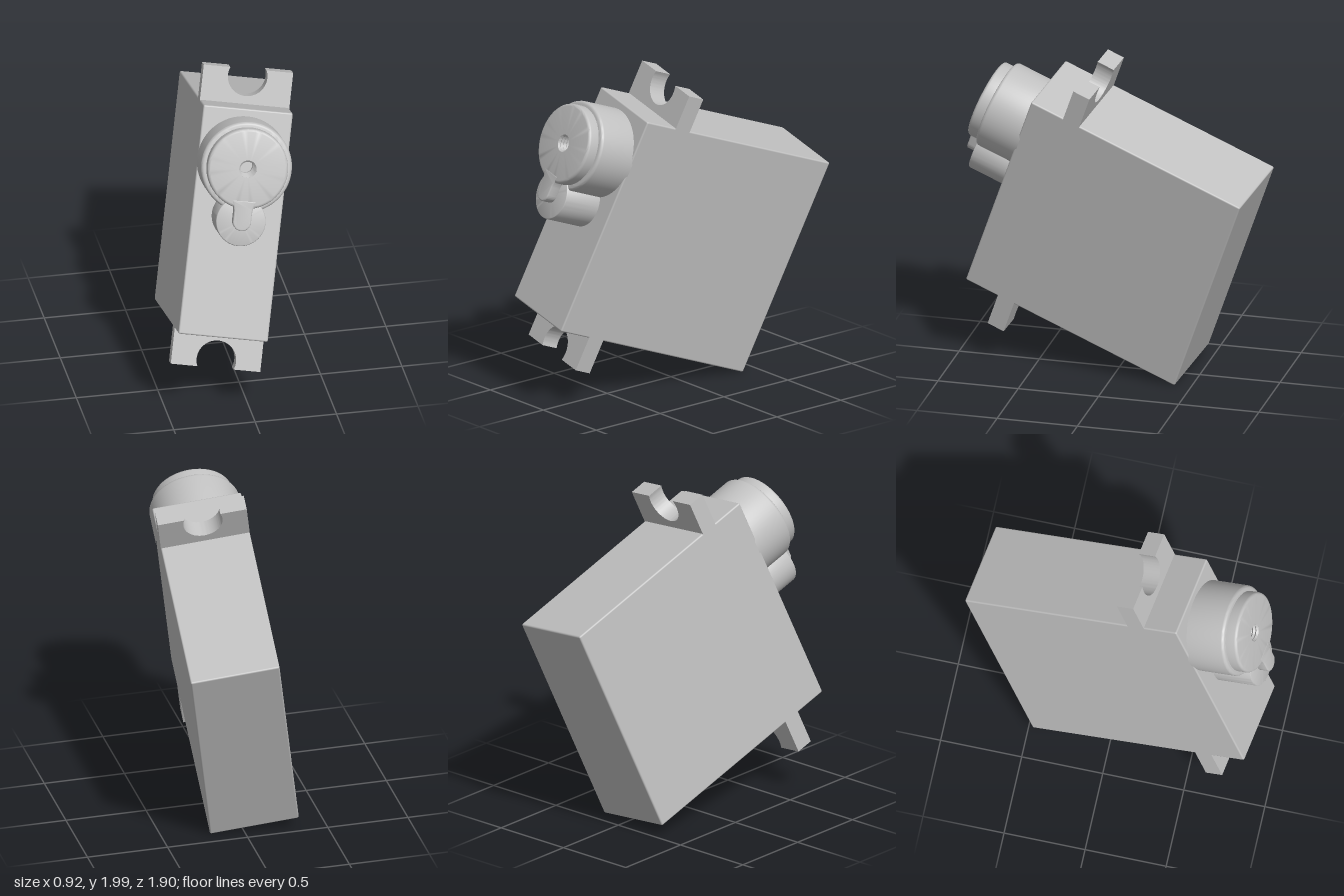
import * as THREE from 'three';
import { toCreasedNormals } from 'three/addons/utils/BufferGeometryUtils.js';
import { RoundedBoxGeometry } from 'three/addons/geometries/RoundedBoxGeometry.js';

const HALF_W = 0.2725; // half width of the case

// Lathe whose axis points forward (+z); profile entries are [radius, z]
function turned(profile, y) {
  const points = profile.map(([r, z]) => new THREE.Vector2(r, z));
  const geo = toCreasedNormals(new THREE.LatheGeometry(points, 64), 0.6);
  return geo.rotateX(Math.PI / 2).translate(0, y, 0);
}

// Rounded outer rim as a run of profile points
function rim(radius, top, bevel) {
  const points = [];
  for (let i = 0; i <= 4; i++) {
    const a = (i / 4) * Math.PI / 2;
    points.push([radius - bevel + bevel * Math.cos(a), top - bevel + bevel * Math.sin(a)]);
  }
  return points;
}

// Mounting ear with a round notch open at its tip
function earGeometry() {
  const tip = 0.915, cy = 0.868, r = 0.12;
  const a = Math.asin((tip - cy) / r);
  const s = new THREE.Shape();
  s.moveTo(-HALF_W, 0.68);
  s.lineTo(HALF_W, 0.68);
  s.lineTo(HALF_W, tip);
  s.lineTo(r * Math.cos(a), tip);
  s.absarc(0, cy, r, a, Math.PI - a, true);
  s.lineTo(-HALF_W, tip);
  s.closePath();
  const geo = new THREE.ExtrudeGeometry(s, { depth: 0.11, bevelEnabled: false, curveSegments: 32 });
  return toCreasedNormals(geo.translate(0, 0, 0.385), 0.6);
}

// Round-ended pointer that grows out of the cap
function pointerGeometry() {
  const s = new THREE.Shape(), r = 0.047, y = 0.055;
  s.moveTo(0.065, 0.18);
  s.quadraticCurveTo(r, 0.14, r, 0.11);
  s.lineTo(r, y);
  s.absarc(0, y, r, 0, -Math.PI, true);
  s.lineTo(-r, 0.11);
  s.quadraticCurveTo(-r, 0.14, -0.065, 0.18);
  s.closePath();
  const geo = new THREE.ExtrudeGeometry(s, {
    depth: 0.056, bevelThickness: 0.008, bevelSize: 0.008, bevelSegments: 3, curveSegments: 16,
  });
  return toCreasedNormals(geo.translate(0, 0, 0.974), 0.6);
}

export function createModel() {
  const grey = new THREE.MeshStandardMaterial({ color: 0xc0c0c0 });
  grey.name = 'light grey';
  const body = new THREE.Group();
  body.name = 'servoMotor';
  const add = (name, geo) => {
    const mesh = new THREE.Mesh(geo, grey);
    mesh.name = name;
    body.add(mesh);
    return mesh;
  };

  add('case', new RoundedBoxGeometry(2 * HALF_W, 1.4, 1.43, 2, 0.01));

  // Upper and lower mounting ears
  const ear = earGeometry();
  add('upperEar', ear);
  add('lowerEar', ear).rotation.z = Math.PI;

  // Gear housings on the front face; the large one is open for the shaft hole
  const gearY = 0.38;
  add('gearHousing', turned([[0.276, 0.7], ...rim(0.276, 0.965, 0.02), [0.2, 0.965]], gearY));
  add('smallGearHousing', turned([[0.151, 0.7], ...rim(0.151, 0.972, 0.008), [0, 0.972]], 0.05));

  // Output cap with a threaded screw hole
  const thread = [];
  for (let i = 0; i < 7; i++) {
    thread.push([0.053, 1.035 - i * 0.022], [0.043, 1.024 - i * 0.022]);
  }
  add('outputCap', turned([[0.245, 0.95], ...rim(0.245, 1.037, 0.018), [0.053, 1.037],
    ...thread, [0.043, 0.87], [0, 0.87]], gearY));
  add('pointer', pointerGeometry());

  // Tilt of the whole unit
  const ex = new THREE.Vector3(0.981, -0.138, 0.138).normalize();
  const ez = new THREE.Vector3(-0.084, 0.357, 0.93).normalize();
  const ey = new THREE.Vector3().crossVectors(ez, ex).normalize();
  ez.crossVectors(ex, ey);
  body.quaternion.setFromRotationMatrix(new THREE.Matrix4().makeBasis(ex, ey, ez));
  body.position.set(0.005, 0.942, -0.004);

  const model = new THREE.Group();
  model.name = 'model';
  model.add(body);
  return model;
}
